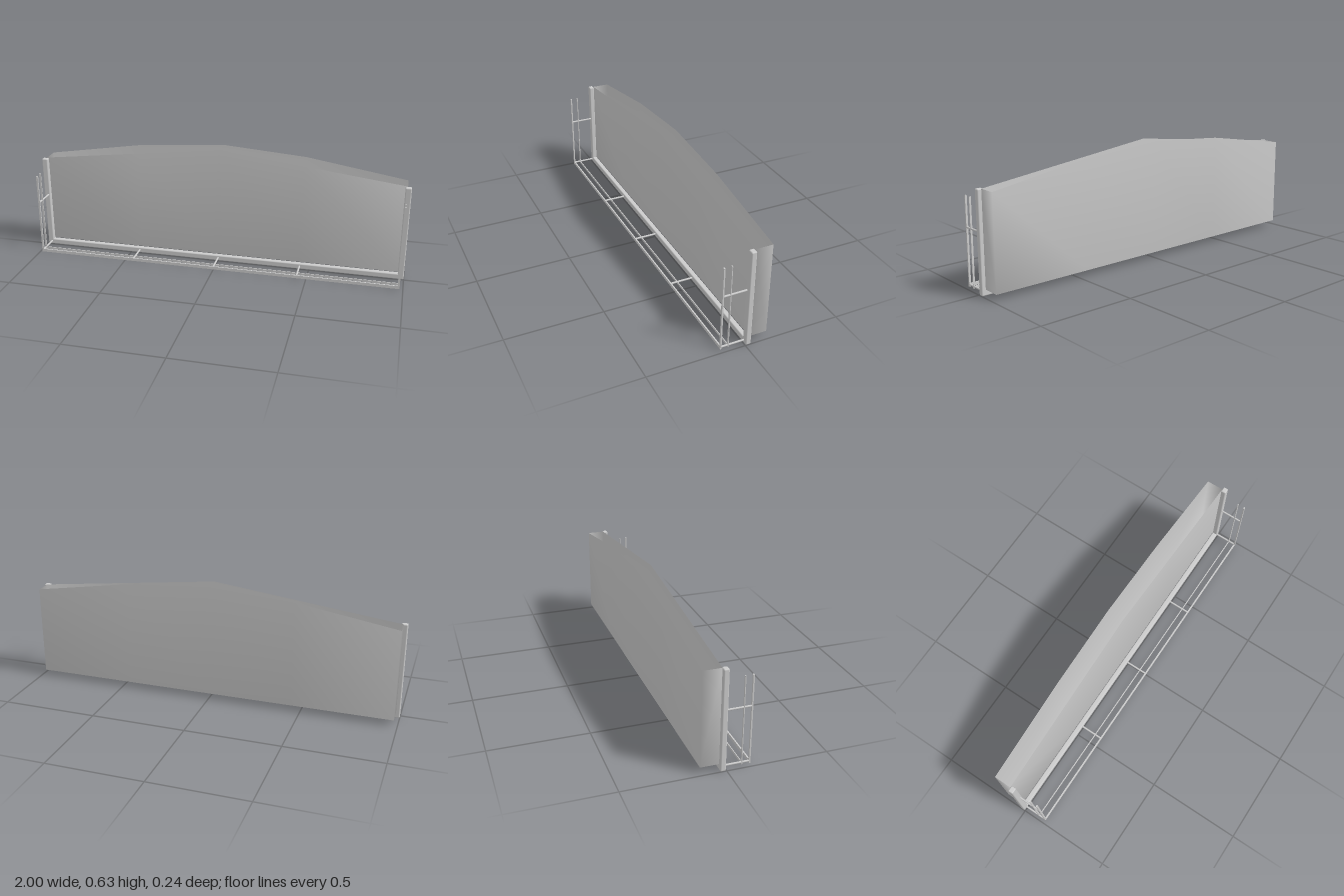
import * as THREE from 'three';
import { RoundedBoxGeometry } from 'three/addons/geometries/RoundedBoxGeometry.js';

const grey = new THREE.MeshStandardMaterial({ color: 0xcccccc, side: THREE.DoubleSide });

function add(parent, name, geometry, x = 0, y = 0, z = 0) {
  const mesh = new THREE.Mesh(geometry, grey);
  mesh.name = name;
  mesh.position.set(x, y, z);
  parent.add(mesh);
  return mesh;
}

// Box given by its lower and upper corners
function box(parent, name, [x0, y0, z0], [x1, y1, z1], radius = 0) {
  const size = [x1 - x0, y1 - y0, z1 - z0];
  const geometry = radius
    ? new RoundedBoxGeometry(...size, 2, radius)
    : new THREE.BoxGeometry(...size);
  return add(parent, name, geometry, (x0 + x1) / 2, (y0 + y1) / 2, (z0 + z1) / 2);
}

// Open-topped shell: straight gable edge in front, bowed edge behind
function shellGeometry() {
  const columns = [[-0.98, 0.512], [-0.45, 0.597], [0, 0.631], [0.45, 0.597], [0.98, 0.512]];
  const front = -0.03, back = -0.121, base = 0.03;
  const position = [], index = [];
  for (const [x, backTop] of columns) {
    const frontTop = 0.631 - 0.119 * Math.abs(x) / 0.98;
    position.push(x, frontTop, front, x, base, front, x, base, back, x, backTop, back);
  }
  for (let i = 0; i < columns.length - 1; i++) {
    for (let j = 0; j < 3; j++) {
      const a = i * 4 + j, b = a + 4;
      index.push(a, a + 1, b + 1, a, b + 1, b);
    }
  }
  // End walls
  const e = (columns.length - 1) * 4;
  index.push(0, 3, 2, 0, 2, 1, e, e + 1, e + 2, e, e + 2, e + 3);
  const geometry = new THREE.BufferGeometry();
  geometry.setAttribute('position', new THREE.Float32BufferAttribute(position, 3));
  geometry.setIndex(index);
  geometry.computeVertexNormals();
  return geometry;
}

export function createModel() {
  const model = new THREE.Group();
  model.name = 'gabledPanel';
  add(model, 'panelShell', shellGeometry());

  // U-shaped frame around the front of the shell
  const frame = new THREE.Group();
  frame.name = 'frame';
  model.add(frame);
  box(frame, 'frameSill', [-1, 0, -0.03], [1, 0.03, -0.003], 0.006);
  for (const s of [-1, 1]) {
    const c = s * 0.984;
    box(frame, 'frameUpright', [c - 0.016, 0, -0.03], [c + 0.016, 0.512, -0.003], 0.006);
  }

  // Outer rails, standing off in front of the frame
  const rails = new THREE.Group();
  rails.name = 'outerRails';
  model.add(rails);
  const bars = [[0.115, 0.122, 0.016], [0.078, 0.082, 0.012]];
  for (const [z0, z1, height] of bars) {
    box(rails, 'lowerRail', [-0.983, 0.007, z0], [0.983, 0.007 + height, z1]);
    for (const s of [-1, 1]) {
      const c = s * 0.978;
      box(rails, 'railPost', [c - 0.005, 0.007, z0], [c + 0.005, 0.456, z1]);
    }
  }

  // Stand-off rods joining the rails to the frame
  const rod = new THREE.CylinderGeometry(0.005, 0.005, 0.125, 10).rotateX(Math.PI / 2);
  for (const x of [-0.978, -0.45, 0, 0.45, 0.978]) {
    add(rails, 'lowerStandoff', rod, x, 0.017, 0.0545);
    if (Math.abs(x) > 0.9) add(rails, 'upperStandoff', rod, x, 0.301, 0.0545);
  }
  return model;
}
